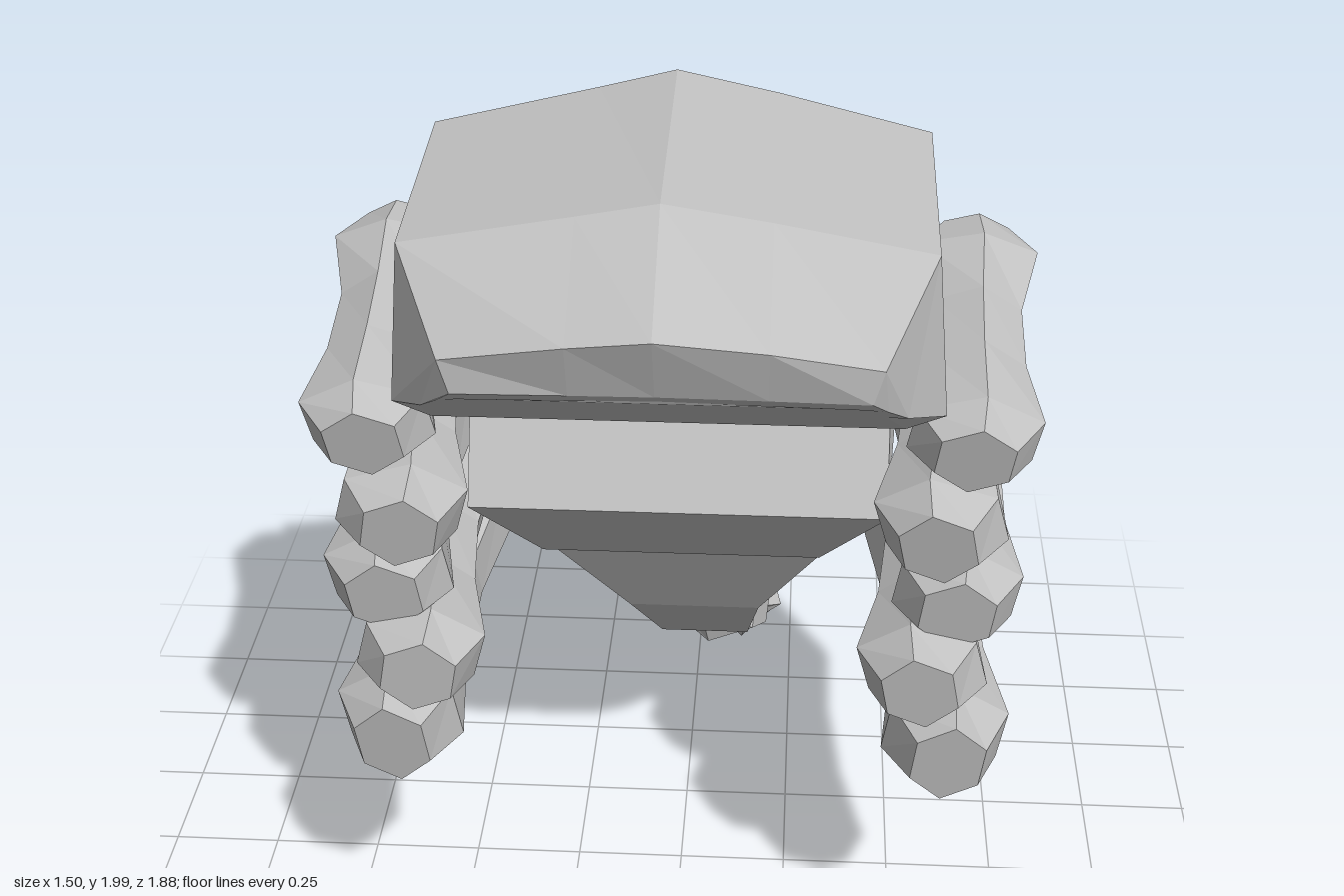
import * as THREE from 'three';

const hair = new THREE.MeshStandardMaterial({ color: 0xc0c0c0 });
hair.name = 'powderedGrey';
const { lerp } = THREE.MathUtils;

// Skin closed rings into a faceted, capped solid that always faces outward
function loft(name, rings) {
  const tris = [];
  const n = rings[0].length;
  for (let i = 0; i < rings.length - 1; i++) {
    for (let j = 0; j < n; j++) {
      const k = (j + 1) % n;
      const a = rings[i][j], b = rings[i][k], c = rings[i + 1][k], d = rings[i + 1][j];
      tris.push([a, b, c], [a, c, d]);
    }
  }
  const cap = (ring, flip) => {
    const mid = ring.reduce((s, p) => s.add(p), new THREE.Vector3()).divideScalar(n);
    ring.forEach((p, j) => {
      const q = ring[(j + 1) % n];
      tris.push(flip ? [mid, q, p] : [mid, p, q]);
    });
  };
  cap(rings[0], true);
  cap(rings[rings.length - 1], false);
  const cross = new THREE.Vector3();
  const volume = tris.reduce((v, [a, b, c]) => v + a.dot(cross.crossVectors(b, c)), 0);
  if (volume < 0) tris.forEach((t) => t.reverse());
  const geo = new THREE.BufferGeometry().setFromPoints(tris.flat());
  geo.computeVertexNormals();
  const mesh = new THREE.Mesh(geo, hair);
  mesh.name = name;
  return mesh;
}

// Rounded lock of hair: stations are [x, y, z, radiusX, radiusY]
function lock(name, stations, sides, spin = 0) {
  const pts = stations.map((s) => new THREE.Vector3(s[0], s[1], s[2]));
  const back = new THREE.Vector3(0, 0, -1);
  const rings = stations.map((s, i) => {
    const dir = pts[Math.min(i + 1, pts.length - 1)].clone().sub(pts[Math.max(i - 1, 0)]).normalize();
    const turn = new THREE.Quaternion().setFromUnitVectors(back, dir);
    return Array.from({ length: sides }, (_, j) => {
      const a = spin + (j / sides) * Math.PI * 2;
      return new THREE.Vector3(s[3] * Math.cos(a), s[4] * Math.sin(a), 0).applyQuaternion(turn).add(pts[i]);
    });
  });
  return loft(name, rings);
}

// Thick crown: front roll, flat top and hanging sides, running down into the back
function makeCrown() {
  // centre [y,z], shoulder [x,y,z], side hem [x,y,z], inner ceiling [x,y,z]
  const rows = [
    [[1.64, 0.88], [0.39, 1.63, 0.87], [0.42, 1.6, 0.84], [0.38, 1.615, 0.86]],
    [[1.78, 0.937], [0.41, 1.7, 0.87], [0.46, 1.56, 0.79], [0.42, 1.56, 0.79]],
    [[1.94, 0.69], [0.51, 1.84, 0.67], [0.54, 1.5, 0.67], [0.46, 1.48, 0.69]],
    [[2.0, 0.16], [0.51, 1.88, 0.17], [0.55, 1.46, 0.25], [0.46, 1.44, 0.28]],
    [[1.68, -0.155], [0.52, 1.65, -0.02], [0.5, 1.36, 0.08], [0.45, 1.42, 0.1]],
    [[1.53, -0.222], [0.49, 1.5, -0.1], [0.46, 1.28, -0.02], [0.44, 1.38, 0.02]],
  ];
  return loft('crown', rows.map(([c, e, b, n]) => {
    const top = (x, f) => new THREE.Vector3(x, lerp(c[0], e[1], f), lerp(c[1], e[2], f));
    const v = (p, s) => new THREE.Vector3(p[0] * s, p[1], p[2]);
    return [v(b, 1), v(e, 1), top(0.2, 0.37), top(-0.01, 0), top(-0.17, 0.33),
      v(e, -1), v(b, -1), v(n, -1), v(n, 1)];
  }));
}

// Back hair: folded outside, padded inside, gathered into the tail
function makeBack() {
  const folds = [0, 0, 0.1, 0.5, 0, 0, 1, 0.1, 1, 0, 0];
  // half width, centre x, outer [y,z], corner [y,z], inner [half width,y,z], fold depth
  const rows = [
    [0.47, 0, [1.6, -0.17], [1.56, -0.05], [0.44, 1.46, 0.26], 0],
    [0.49, 0, [1.53, -0.222], [1.5, -0.1], [0.45, 1.38, 0.25], 0],
    [0.47, 0, [1.25, -0.212], [1.22, -0.12], [0.45, 1.09, 0.4], 0.045],
    [0.43, 0, [1.0, -0.255], [0.98, -0.09], [0.31, 0.89, 0.25], 0.06],
    [0.36, 0, [0.82, -0.295], [0.82, -0.05], [0.34, 0.8, 0.06], 0.06],
    [0.18, 0.01, [0.59, -0.345], [0.55, -0.21], [0.16, 0.48, -0.14], 0.045],
    [0.12, 0.03, [0.46, -0.41], [0.4, -0.33], [0.11, 0.3, -0.29], 0.02],
    [0.07, 0.05, [0.33, -0.5], [0.28, -0.48], [0.06, 0.22, -0.46], 0],
  ];
  return loft('backHair', rows.map(([w, cx, o, c, n, depth]) => {
    const ring = folds.map((fold, i) => {
      const t = i / 5 - 1, f = 1 - t * t;
      return new THREE.Vector3(cx + t * w, lerp(c[0], o[0], f), lerp(c[1], o[1], f) + fold * depth);
    });
    for (const s of [1, 0, -1]) ring.push(new THREE.Vector3(cx + s * n[0], n[1], n[2]));
    return ring;
  }));
}

// Side curls: front [x,y,z], back [x,y,z], front and back half heights
const CURLS = [
  [[0.6, 1.41, 0.69], [0.62, 1.585, 0.02], 0.1, 0.085],
  [[0.54, 1.21, 0.7], [0.61, 1.38, -0.05], 0.11, 0.115],
  [[0.59, 1.025, 0.66], [0.61, 1.155, -0.06], 0.11, 0.1],
  [[0.52, 0.87, 0.72], [0.58, 0.965, -0.07], 0.11, 0.105],
  [[0.59, 0.675, 0.7], [0.55, 0.83, -0.16], 0.13, 0.115],
];

function makeCurls(side) {
  const group = new THREE.Group();
  group.name = side > 0 ? 'leftCurls' : 'rightCurls';
  CURLS.forEach(([f, b, hf, hb], i) => {
    const at = (t, rx, ry, drop = 0) => [
      side * lerp(f[0], b[0], t), lerp(f[1], b[1], t) - drop, lerp(f[2], b[2], t), rx, ry];
    group.add(lock(`curl${i + 1}`, [
      at(0, 0.085, hf * 0.85),
      at(0.11, 0.145, hf),
      at(0.36, 0.11, 0.104, 0.012),
      at(0.62, 0.105, 0.106, 0.018),
      at(0.87, 0.145, hb),
      at(1, 0.08, hb * 0.7),
    ], 6, Math.PI / 6 + side * (i % 2 ? 0.2 : -0.12)));
  });
  return group;
}

export function createModel() {
  const wig = new THREE.Group();
  wig.name = 'wig';
  wig.add(makeCrown(), makeBack(), makeCurls(1), makeCurls(-1));

  // Band gathering the tail
  wig.add(lock('tailBand', [
    [0.035, 0.28, -0.475, 0.1, 0.09],
    [0.045, 0.27, -0.495, 0.14, 0.125],
    [0.08, 0.235, -0.575, 0.14, 0.125],
    [0.09, 0.225, -0.595, 0.1, 0.09],
  ], 6, 0.5));

  // Loose pointed end of the tail
  wig.add(lock('tailTuft', [
    [0.09, 0.22, -0.57, 0.06, 0.06],
    [0.135, 0.19, -0.64, 0.095, 0.09],
    [0.115, 0.13, -0.74, 0.1, 0.135],
    [0.14, 0.115, -0.82, 0.07, 0.06],
    [0.19, 0.12, -0.9, 0.025, 0.03],
    [0.21, 0.105, -0.937, 0.008, 0.012],
  ], 5, -Math.PI / 2));
  return wig;
}
